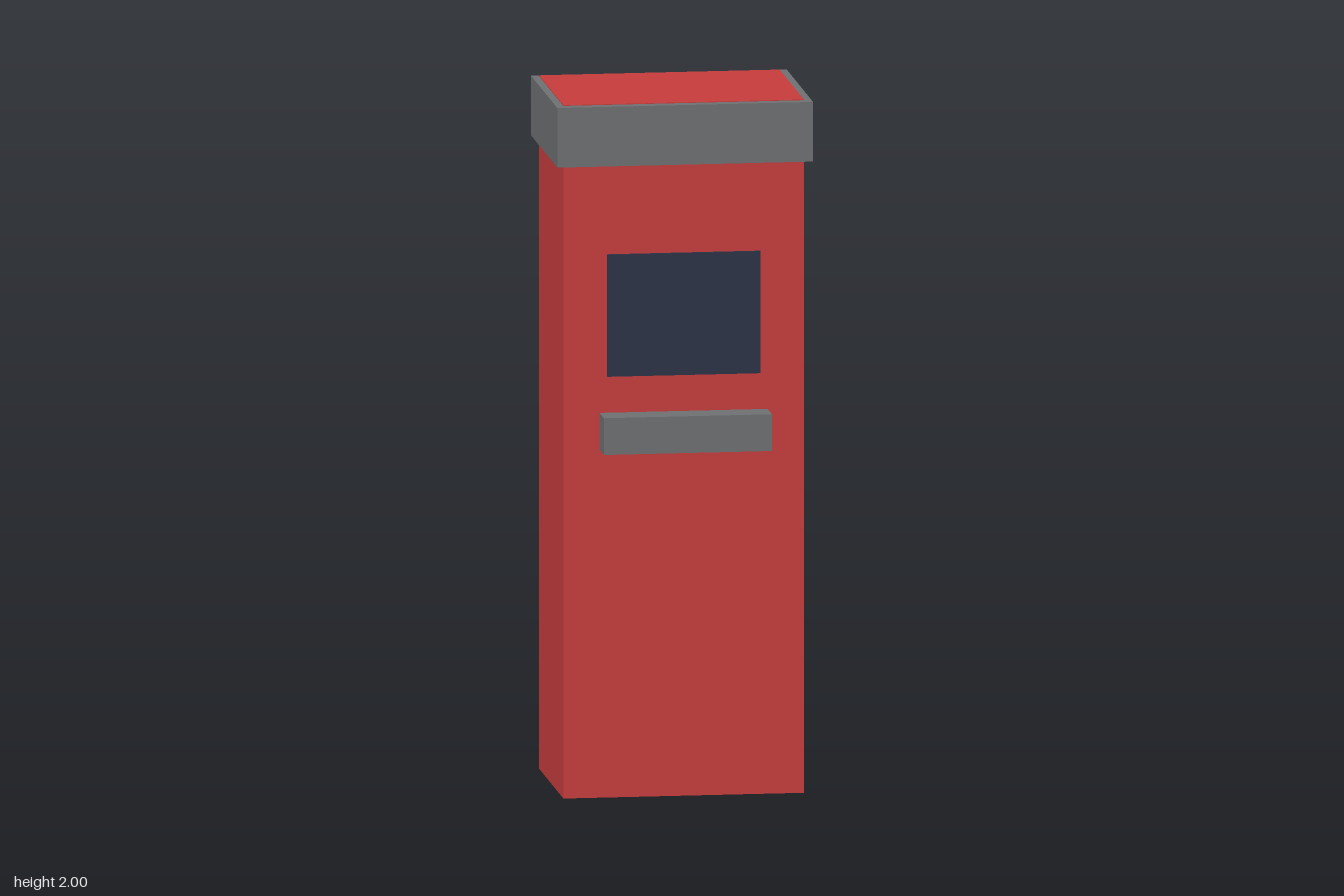
import * as THREE from 'three';

const red = new THREE.MeshStandardMaterial({ name: 'red paint', color: 0xc83c3c });
const grey = new THREE.MeshStandardMaterial({ name: 'grey metal', color: 0x6e7073 });
const navy = new THREE.MeshStandardMaterial({ name: 'dark screen', color: 0x2b3346 });

// Box centred on x = 0, given its width and its y and z extents
function block(name, material, width, [y0, y1], [z0, z1]) {
  const mesh = new THREE.Mesh(new THREE.BoxGeometry(width, y1 - y0, z1 - z0), material);
  mesh.name = name;
  mesh.position.set(0, (y0 + y1) / 2, (z0 + z1) / 2);
  return mesh;
}

export function createModel() {
  const kiosk = new THREE.Group();
  kiosk.name = 'kiosk';
  kiosk.add(
    // Cabinet rises through the cap, so its red top shows inside a grey rim
    block('cabinet', red, 0.69, [0, 2], [-0.29, 0.21]),
    block('cap', grey, 0.734, [1.826, 1.998], [-0.3, 0.243]),
    // Fittings on the front face
    block('screen', navy, 0.44, [1.215, 1.567], [0.21, 0.219]),
    block('ledge', grey, 0.482, [1.004, 1.11], [0.2, 0.3]),
  );
  return kiosk;
}
